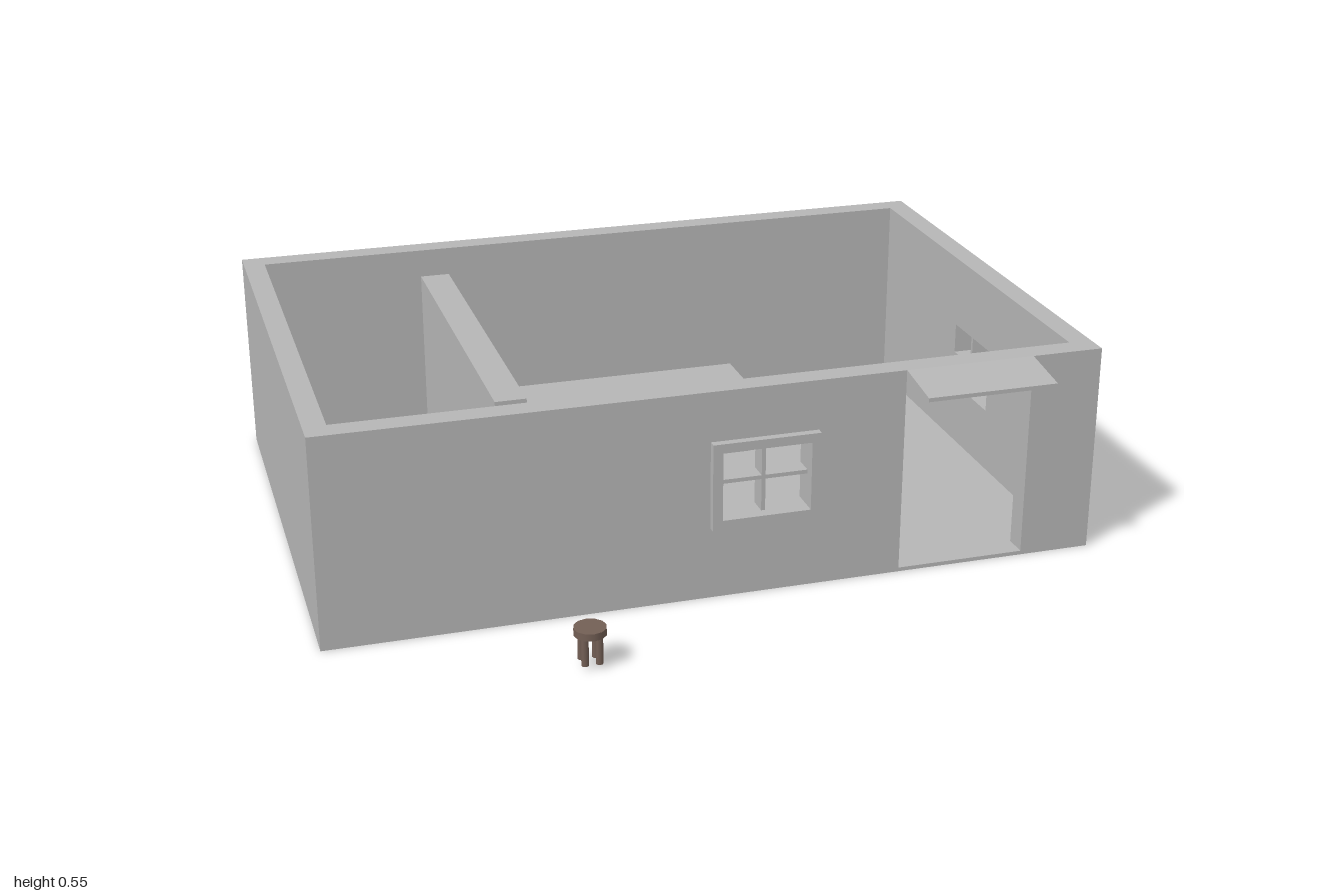
import * as THREE from 'three';

const plaster = new THREE.MeshStandardMaterial({ color: 0xb6b6b6 });
plaster.name = 'grey plaster';
const wood = new THREE.MeshStandardMaterial({ color: 0x735f55 });
wood.name = 'brown wood';

function add(parent, name, geometry, material = plaster) {
  const mesh = new THREE.Mesh(geometry, material);
  mesh.name = name;
  parent.add(mesh);
  return mesh;
}

// Box given by its limits on each axis
function block(parent, name, [x0, x1], [y0, y1], [z0, z1], material) {
  const g = new THREE.BoxGeometry(x1 - x0, y1 - y0, z1 - z0);
  g.translate((x0 + x1) / 2, (y0 + y1) / 2, (z0 + z1) / 2);
  return add(parent, name, g, material);
}

// Upright slab with rectangular openings, each [u0, u1, y0, y1]
function slab(outline, holes, depth) {
  const corners = ([a, b, c, d]) => [[a, c], [b, c], [b, d], [a, d]].map(p => new THREE.Vector2(...p));
  const shape = new THREE.Shape(corners(outline));
  holes.forEach(h => shape.holes.push(new THREE.Path(corners(h).reverse())));
  return new THREE.ExtrudeGeometry(shape, { depth, bevelEnabled: false });
}

// Cross bars that fill a window opening
function crossBars(parent, [u0, u1, y0, y1], depth) {
  const u = (u0 + u1) / 2, y = (y0 + y1) / 2, t = 0.005;
  block(parent, 'verticalBar', [u - t, u + t], [y0, y1], [0, depth]);
  block(parent, 'horizontalBarLeft', [u0, u - t], [y - t, y + t], [0, depth]);
  block(parent, 'horizontalBarRight', [u + t, u1], [y - t, y + t], [0, depth]);
}

function stool(name, x, z) {
  const g = new THREE.Group();
  g.name = name;
  add(g, 'seat', new THREE.CylinderGeometry(0.039, 0.039, 0.018, 12), wood).position.y = 0.09;
  for (let i = 0; i < 4; i++) {
    const a = Math.PI / 4 + i * Math.PI / 2;
    add(g, 'leg', new THREE.CylinderGeometry(0.009, 0.009, 0.07, 8), wood)
      .position.set(Math.cos(a) * 0.024, 0.046, Math.sin(a) * 0.024);
  }
  g.position.set(x, 0, z);
  return g;
}

export function createModel() {
  const model = new THREE.Group();
  model.name = 'rooflessHouse';
  const top = 0.535;

  // Floor and plain walls
  block(model, 'floor', [-0.945, 0.885], [0, 0.01], [-0.73, 0.445]);
  block(model, 'backWall', [-1, 0.943], [0, top], [-0.79, -0.73]);
  block(model, 'leftSideWall', [-1, -0.945], [0, top], [-0.73, 0.445]);

  // Front wall with doorway and window
  const front = new THREE.Group();
  front.name = 'frontWall';
  front.position.z = 0.445;
  const frontWindow = [-0.035, 0.187, 0.21, 0.385];
  add(front, 'frontWallPanel', slab([-1, 0.943, 0, top], [[0.43, 0.76, 0.01, 0.505], frontWindow], 0.06));
  crossBars(front, frontWindow, 0.05);
  add(front, 'windowFrame', slab([-0.06, 0.21, 0.185, 0.408], [frontWindow], 0.02)).position.z = 0.06;
  model.add(front);

  // Side wall, drawn with u running towards the back
  const side = new THREE.Group();
  side.name = 'windowSideWall';
  side.rotation.y = Math.PI / 2;
  side.position.x = 0.885;
  const sideWindow = [0.005, 0.225, 0.175, 0.347];
  add(side, 'sideWallPanel', slab([-0.445, 0.73, 0, top], [sideWindow], 0.058));
  crossBars(side, sideWindow, 0.05);
  add(side, 'sideWindowFrame', slab([-0.002, 0.235, 0.167, 0.355], [sideWindow], 0.008)).position.z = 0.058;
  model.add(side);

  // Open shutters
  for (const [name, z0, z1, x1] of [['frontShutter', 0, 0.14, 0.99], ['backShutter', -0.235, -0.347, 0.996]]) {
    const dx = x1 - 0.95, dz = z1 - z0;
    const s = add(model, name, new THREE.BoxGeometry(0.008, 0.193, Math.hypot(dx, dz)));
    s.position.set(0.95 + dx / 2, 0.263, (z0 + z1) / 2);
    s.rotation.y = Math.atan(dx / dz);
  }

  // Sloping canopy over the door
  const profile = new THREE.Shape([[-0.505, 0.505], [-0.505, top], [-0.64, 0.515], [-0.64, 0.505]]
    .map(p => new THREE.Vector2(...p)));
  const canopy = add(model, 'doorCanopy', new THREE.ExtrudeGeometry(profile, { depth: 0.33, bevelEnabled: false }));
  canopy.rotation.y = Math.PI / 2;
  canopy.position.x = 0.43;

  // Partition and counter
  block(model, 'partition', [-0.56, -0.485], [0.01, 0.545], [-0.48, 0.445]);
  block(model, 'counter', [-0.485, 0.31], [0.01, 0.2], [-0.48, -0.29]);

  // Stools, one outdoors
  model.add(stool('outdoorStool', -0.42, 0.745), stool('indoorStool', -0.255, 0.075));

  // Small wooden piece lying on the floor
  const piece = new THREE.Group();
  piece.name = 'fallenWoodPiece';
  block(piece, 'body', [-0.065, 0.06], [0.03, 0.06], [-0.027, 0.027], wood);
  block(piece, 'base', [-0.04, 0.05], [0.01, 0.035], [-0.037, 0.037], wood);
  block(piece, 'handle', [0.06, 0.1], [0.03, 0.048], [-0.011, 0.011], wood);
  piece.position.set(-0.345, 0, 0.195);
  piece.rotation.y = -Math.PI / 4;
  model.add(piece);

  return model;
}
